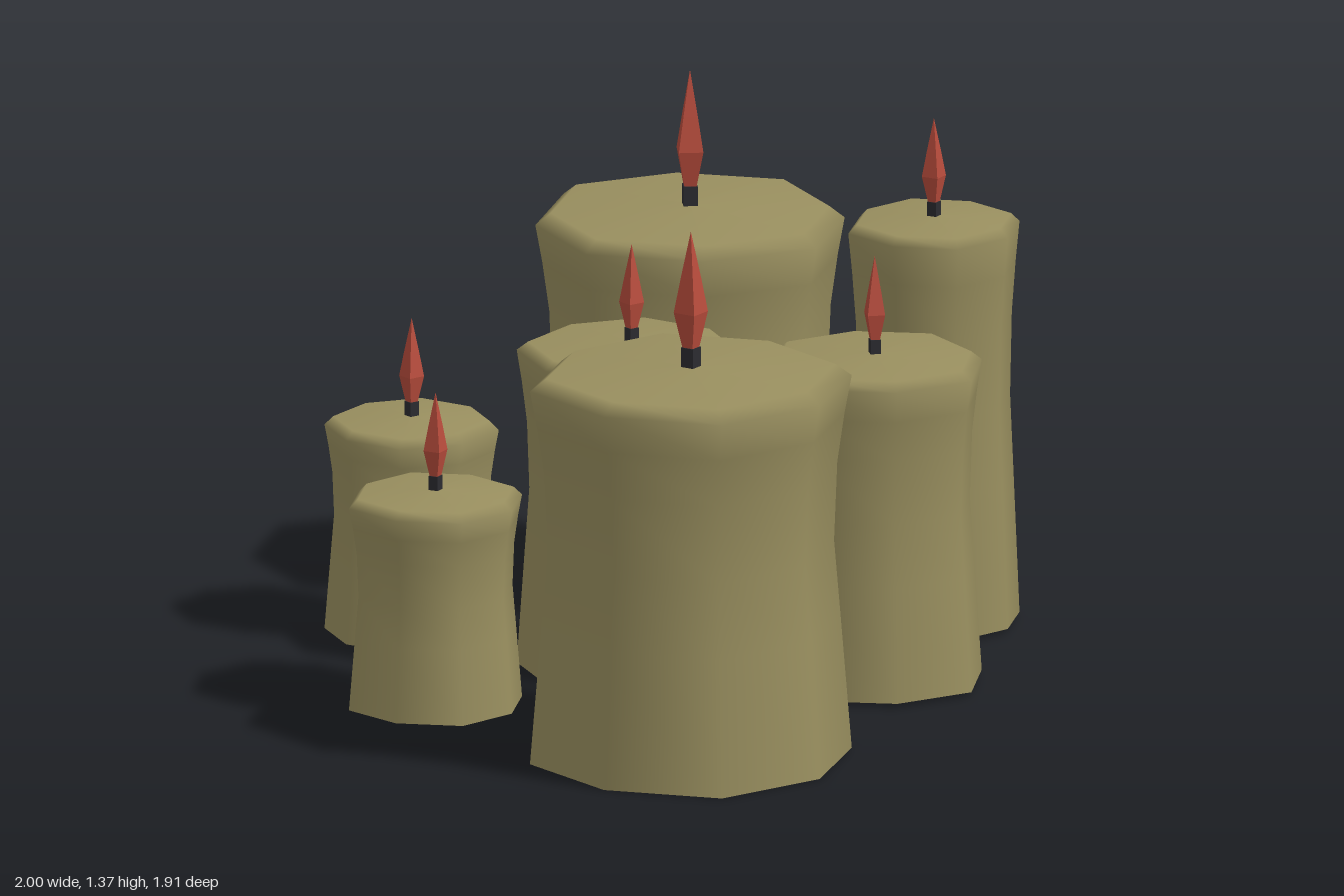
import * as THREE from 'three';

const wax = new THREE.MeshStandardMaterial({ color: 0x998f5f });
wax.name = 'olive wax';
const wickDark = new THREE.MeshStandardMaterial({ color: 0x2b2b30 });
wickDark.name = 'charred wick';
const flameRed = new THREE.MeshStandardMaterial({ color: 0xb84c3c });
flameRed.name = 'flame red';

// x, z, base, top, radius, turn in degrees, wick and flame scale
const CANDLES = [
  [-0.595, -0.43, 0, 1.02, 0.392, 32.5, 1],
  [0.625, 0.52, 0, 1.02, 0.392, -18, 1],
  [-0.005, -0.75, 0.01, 1.065, 0.213, -23, 0.72],
  [0.335, -0.295, 0.01, 0.855, 0.276, 26, 0.72],
  [-0.13, 0.12, 0.005, 0.855, 0.277, 0, 0.72],
  [-0.75, 0.34, 0, 0.565, 0.21, 0, 0.72],
  [-0.14, 0.74, 0.01, 0.57, 0.217, -24.5, 0.72],
];

// Push the diagonal corners of an octagon out a little
function bulgeCorners(geometry) {
  const p = geometry.attributes.position;
  for (let i = 0; i < p.count; i++) {
    const x = p.getX(i), z = p.getZ(i);
    if (Math.min(Math.abs(x), Math.abs(z)) > 0.001) {
      p.setX(i, x * 1.055);
      p.setZ(i, z * 1.055);
    }
  }
  return geometry;
}

function addMesh(group, name, geometry, material) {
  const mesh = new THREE.Mesh(geometry, material);
  mesh.name = name;
  group.add(mesh);
  return mesh;
}

function makeCandle([x, z, base, top, radius, turn, scale]) {
  const candle = new THREE.Group();
  const h = top - base;
  const rim = h - 0.045 * scale;

  // Waisted body with a bevelled rim and a slightly domed top
  const profile = [
    [1, 0], [0.93, rim * 0.36], [0.89, rim * 0.56], [0.91, rim * 0.77],
    [0.955, rim * 0.9], [1, rim], [0.9, h - 0.014 * scale], [0, h],
  ].map(([r, y]) => new THREE.Vector2(r * radius, y));
  addMesh(candle, 'waxBody', bulgeCorners(new THREE.LatheGeometry(profile, 8)), wax);

  // Flat underside
  const bottom = new THREE.CircleGeometry(radius, 8).rotateX(Math.PI / 2);
  addMesh(candle, 'underside', bulgeCorners(bottom), wax);

  // Square wick
  const wick = addMesh(candle, 'wick', new THREE.BoxGeometry(0.036, 0.07, 0.036), wickDark);
  wick.scale.setScalar(scale);
  wick.position.y = h + 0.015 * scale;

  // Faceted four-sided flame
  const flamePoints = [[0, 0], [0.02, 0], [0.044, 0.1], [0.026, 0.19], [0, 0.31]]
    .map(([r, y]) => new THREE.Vector2(r, y));
  const flameGeometry = new THREE.LatheGeometry(flamePoints, 4, Math.PI / 4).toNonIndexed();
  flameGeometry.computeVertexNormals();
  const flame = addMesh(candle, 'flame', flameGeometry, flameRed);
  flame.scale.setScalar(scale);
  flame.position.y = h + 0.042 * scale;

  candle.position.set(x, base, z);
  candle.rotation.y = -THREE.MathUtils.degToRad(turn);
  return candle;
}

export function createModel() {
  const model = new THREE.Group();
  model.name = 'candleCluster';
  CANDLES.forEach((spec, i) => {
    const candle = makeCandle(spec);
    candle.name = `candle${i + 1}`;
    model.add(candle);
  });
  return model;
}
